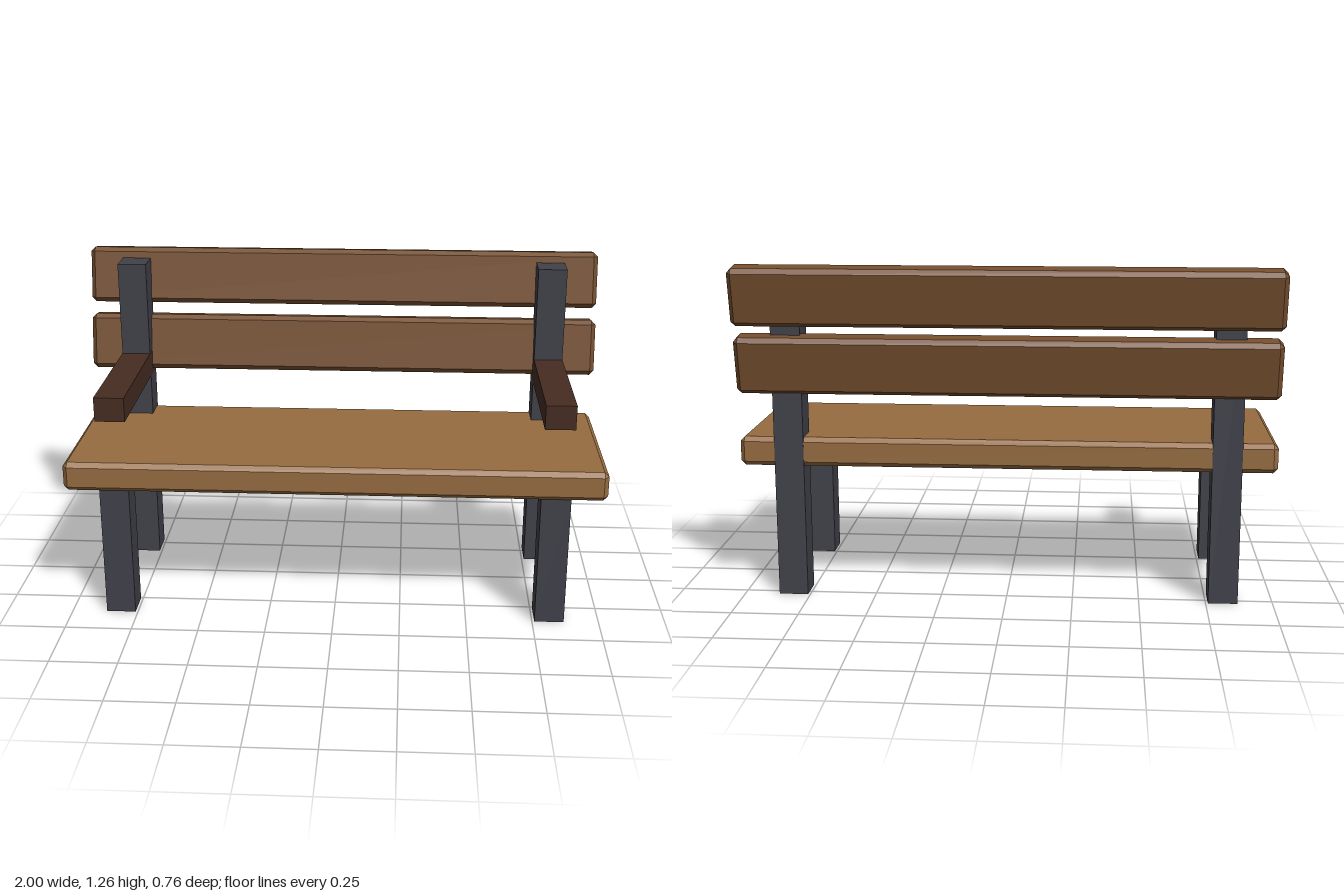
import * as THREE from 'three';
import { ConvexGeometry } from 'three/addons/geometries/ConvexGeometry.js';

const material = (name, color) => {
  const m = new THREE.MeshStandardMaterial({ color });
  m.name = name;
  return m;
};

// Box with every edge chamfered by c
function chamferBox(w, h, d, c = 0.017) {
  const points = [];
  for (const sx of [-1, 1]) for (const sy of [-1, 1]) for (const sz of [-1, 1]) {
    const x = w / 2, y = h / 2, z = d / 2;
    points.push(
      new THREE.Vector3(sx * x, sy * (y - c), sz * (z - c)),
      new THREE.Vector3(sx * (x - c), sy * y, sz * (z - c)),
      new THREE.Vector3(sx * (x - c), sy * (y - c), sz * z));
  }
  return new ConvexGeometry(points);
}

export function createModel() {
  const bench = new THREE.Group();
  bench.name = 'bench';
  const seatWood = material('light wood', 0x966c41);
  const backWood = material('brown wood', 0x754e2e);
  const armWood = material('dark wood', 0x462c22);
  const metal = material('dark metal', 0x41414a);

  const add = (name, geometry, mat, x, y, z) => {
    const mesh = new THREE.Mesh(geometry, mat);
    mesh.name = name;
    mesh.position.set(x, y, z);
    bench.add(mesh);
    return mesh;
  };
  // Plain box given by its y and z ranges
  const bar = (name, mat, x, w, y0, y1, z0, z1) =>
    add(name, new THREE.BoxGeometry(w, y1 - y0, z1 - z0), mat, x, (y0 + y1) / 2, (z0 + z1) / 2);

  // Seat plank
  add('seat', chamferBox(2, 0.11, 0.663), seatWood, 0, 0.558, 0.051);

  // Two leaning back slats
  for (const [name, y, z] of [['lowerBackSlat', 0.892, -0.268], ['upperBackSlat', 1.151, -0.322]]) {
    add(name, chamferBox(2, 0.217, 0.09), backWood, 0, y, z).rotation.x = -Math.PI / 18;
  }

  // Legs, back posts and armrests on both sides
  for (const [side, s] of [['left', 1], ['right', -1]]) {
    const x = s * 0.814;
    bar(side + 'FrontLeg', metal, x, 0.11, 0, 0.51, 0.255, 0.365);
    bar(side + 'BackPost', metal, x, 0.11, 0, 1.227, -0.2815, -0.171);
    bar(side + 'Armrest', armWood, x, 0.111, 0.774, 0.865, -0.28, 0.365);
  }
  return bench;
}
